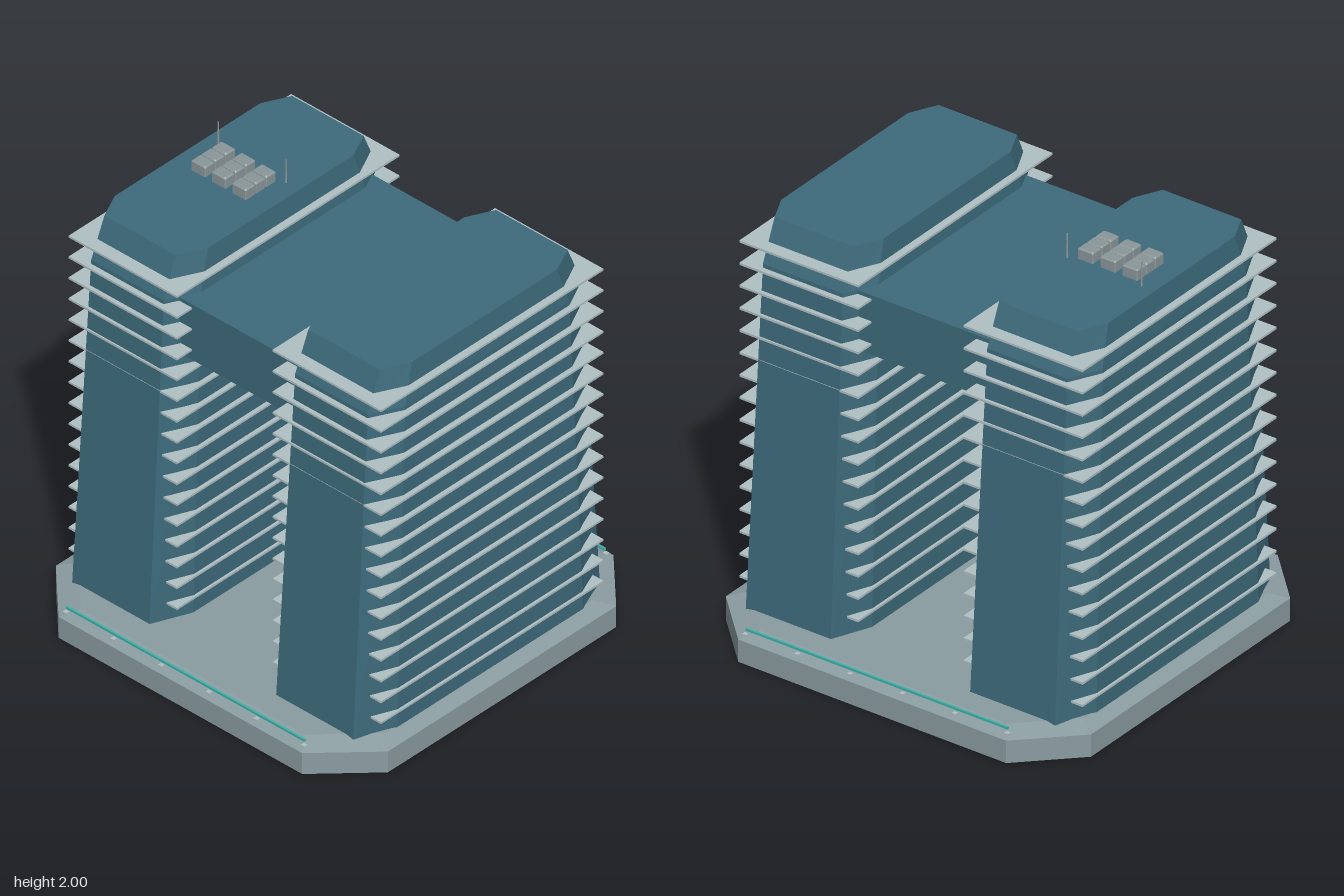
import * as THREE from 'three';

const material = (color) => new THREE.MeshStandardMaterial({ color, flatShading: true, side: THREE.DoubleSide });

// Chamfered rectangle: half sizes hx, hz with corner cuts cx, cz
function octagon(y, hx, hz, cx, cz) {
  const x = hx - cx, z = hz - cz;
  return [[hx, z], [hx, -z], [x, -hz], [-x, -hz], [-hx, -z], [-hx, z], [-x, hz], [x, hz]]
    .map(([px, pz]) => new THREE.Vector3(px, y, pz));
}

// Skin a stack of rings and close both ends
function loft(rings) {
  const points = [];
  const n = rings[0].length;
  for (let r = 0; r + 1 < rings.length; r++) {
    const lo = rings[r], hi = rings[r + 1];
    for (let i = 0; i < n; i++) {
      const j = (i + 1) % n;
      points.push(lo[i], lo[j], hi[j], lo[i], hi[j], hi[i]);
    }
  }
  const bottom = rings[0], top = rings[rings.length - 1];
  for (let i = 1; i + 1 < n; i++) {
    points.push(top[0], top[i], top[i + 1], bottom[0], bottom[i + 1], bottom[i]);
  }
  const geometry = new THREE.BufferGeometry().setFromPoints(points);
  geometry.computeVertexNormals();
  return geometry;
}

export function createModel() {
  const model = new THREE.Group();
  model.name = 'twinTowers';
  const glass = material(0x3d6a7b);
  const stone = material(0x8a9ca1);
  const slab = material(0xb0c0c3);
  const metal = material(0x8a9699);
  const teal = material(0x3fb0a8);

  function add(parent, name, geometry, mat, x = 0, y = 0, z = 0) {
    const mesh = new THREE.Mesh(geometry, mat);
    mesh.name = name;
    mesh.position.set(x, y, z);
    parent.add(mesh);
    return mesh;
  }

  // Podium with cut corners and a sloping rim
  add(model, 'podium', loft([
    octagon(0, 0.92, 0.92, 0.245, 0.245),
    octagon(0.105, 0.92, 0.92, 0.245, 0.245),
    octagon(0.13, 0.845, 0.845, 0.225, 0.225),
  ]), stone);

  // Tapering towers ringed by floor slabs
  const towerGeometry = loft([
    octagon(0.02, 0.291, 0.735, 0.076, 0.18),
    octagon(1.7, 0.273, 0.63, 0.072, 0.145),
    octagon(1.885, 0.258, 0.555, 0.06, 0.125),
  ]);
  const slabGeometry = new THREE.BoxGeometry(0.6, 0.01, 1.315);
  for (const side of [-1, 1]) {
    const tower = new THREE.Group();
    tower.name = side < 0 ? 'rightTower' : 'leftTower';
    tower.position.x = side * 0.565;
    model.add(tower);
    add(tower, 'towerBody', towerGeometry, glass);
    for (let i = 0; i < 16; i++) {
      add(tower, 'floorSlab', slabGeometry, slab, 0, 0.21 + i * 0.1048, 0);
    }
  }

  // Bridge between the towers
  add(model, 'skyBridge', new THREE.BoxGeometry(0.67, 0.28, 1.14), glass, 0, 1.56, 0);

  // Rooftop machinery and antennas on the right tower
  const unitGeometry = loft([
    octagon(0, 0.039, 0.029, 0.004, 0.004),
    octagon(0.047, 0.039, 0.029, 0.004, 0.004),
    octagon(0.053, 0.033, 0.023, 0.004, 0.004),
  ]);
  for (const x of [-0.68, -0.568, -0.455]) {
    for (const z of [-0.061, 0, 0.061]) add(model, 'roofUnit', unitGeometry, metal, x, 1.883, z);
  }
  const antennaGeometry = new THREE.CylinderGeometry(0.003, 0.005, 0.12, 8);
  for (const x of [-0.755, -0.38]) add(model, 'antenna', antennaGeometry, metal, x, 1.94, -0.11);

  // Light strips and their small brackets along the front and back rims
  const stripGeometry = new THREE.BoxGeometry(1.32, 0.01, 0.01);
  const bracketGeometry = new THREE.BoxGeometry(0.02, 0.014, 0.018);
  for (const side of [-1, 1]) {
    add(model, 'lightStrip', stripGeometry, teal, 0, 0.144, side * 0.887);
    for (let i = 0; i < 6; i++) {
      add(model, 'stripBracket', bracketGeometry, slab, -0.66 + i * 0.264, 0.118, side * 0.892);
    }
  }

  return model;
}
